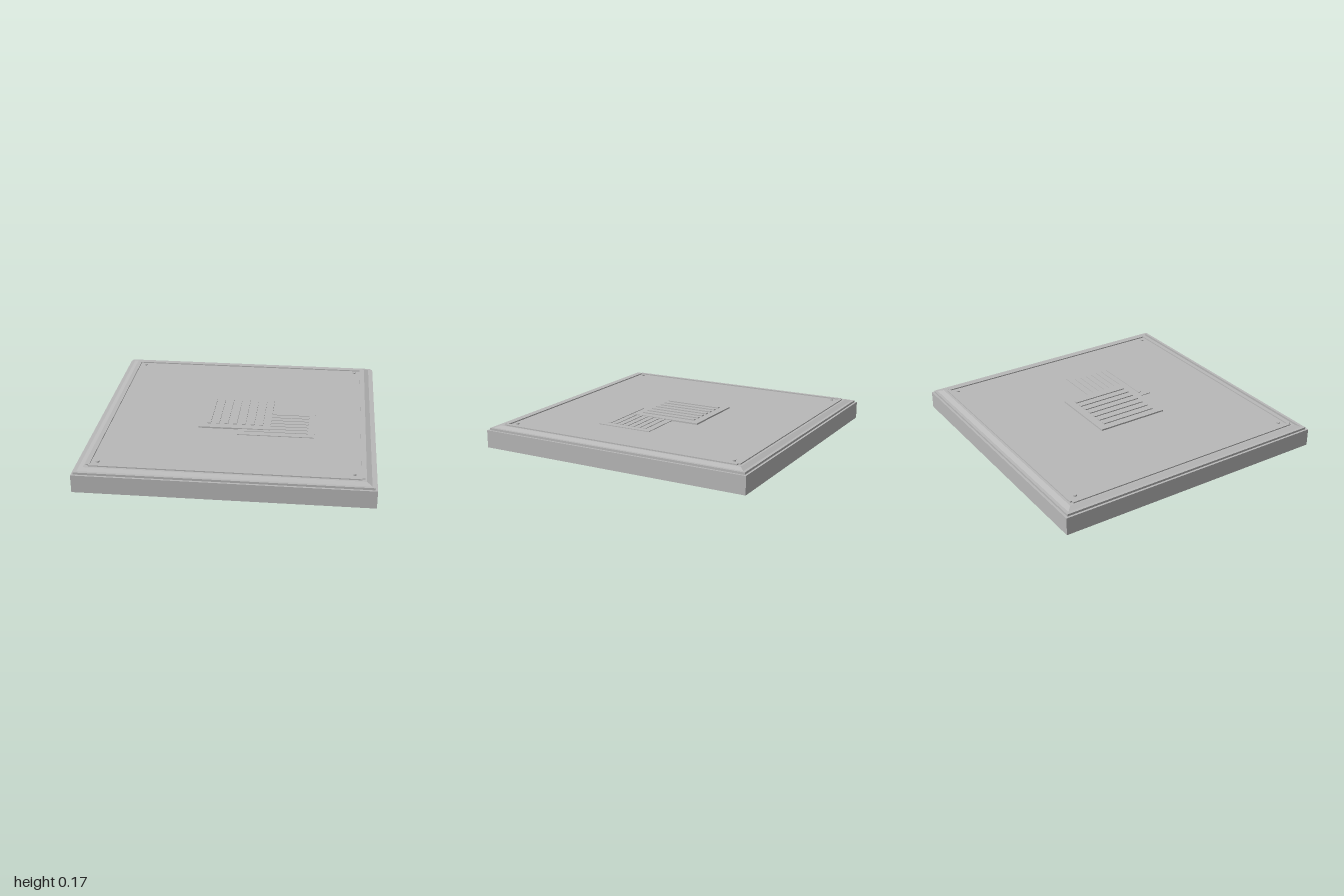
import * as THREE from 'three';

export function createModel() {
  const model = new THREE.Group();
  const grey = new THREE.MeshStandardMaterial({ color: 0xb8b8b8 });
  grey.name = 'concrete grey';

  // Box given by its size in x and z, and its bottom and top heights
  const slab = (name, w, d, y0, y1, x = 0, z = 0, parent = model) => {
    const mesh = new THREE.Mesh(new THREE.BoxGeometry(w, y1 - y0, d), grey);
    mesh.position.set(x, (y0 + y1) / 2, z);
    mesh.name = name;
    parent.add(mesh);
    return mesh;
  };

  // Base and stepped roof
  slab('base', 2, 2, 0, 0.125);
  slab('lowerStep', 1.97, 1.97, 0.125, 0.14);

  // Upper slab, its lower corners spread to slope the edges
  const upper = slab('slopedRoof', 1.86, 1.86, 0.14, 0.153);
  const pos = upper.geometry.attributes.position;
  for (let i = 0; i < pos.count; i++) {
    if (pos.getY(i) < 0) {
      pos.setX(i, Math.sign(pos.getX(i)) * 0.965);
      pos.setZ(i, Math.sign(pos.getZ(i)) * 0.965);
    }
  }
  upper.geometry.computeVertexNormals();

  // Border rails and corner studs
  for (const s of [-1, 1]) {
    slab('sideRail', 0.025, 1.8, 0.15, 0.161, s * 0.907, 0);
    slab('endRail', 1.8, 0.025, 0.15, 0.161, 0, s * 0.902);
    for (const t of [-1, 1]) {
      const stud = new THREE.Mesh(new THREE.CylinderGeometry(0.012, 0.012, 0.01, 10), grey);
      stud.position.set(s * 0.85, 0.157, t * 0.848);
      stud.name = 'cornerStud';
      model.add(stud);
    }
  }

  // Central vent: plate with ribs running front to back
  const vent = new THREE.Group();
  vent.name = 'centralVent';
  model.add(vent);
  slab('ventPlate', 0.51, 0.53, 0.15, 0.164, 0, 0, vent);
  for (let i = -3; i <= 3; i++) {
    slab('ventRib', 0.026, 0.42, 0.163, 0.171, i * 0.0625, 0, vent);
  }

  // Lower vent: thin plate with slats running side to side
  const lowVent = new THREE.Group();
  lowVent.name = 'lowerVent';
  model.add(lowVent);
  slab('lowerVentPlate', 0.54, 0.41, 0.15, 0.158, 0.3, 0.145, lowVent);
  for (let i = -3; i <= 3; i++) {
    slab('lowerVentSlat', 0.45, 0.022, 0.157, 0.162, 0.3, 0.145 + i * 0.048, lowVent);
  }

  return model;
}
